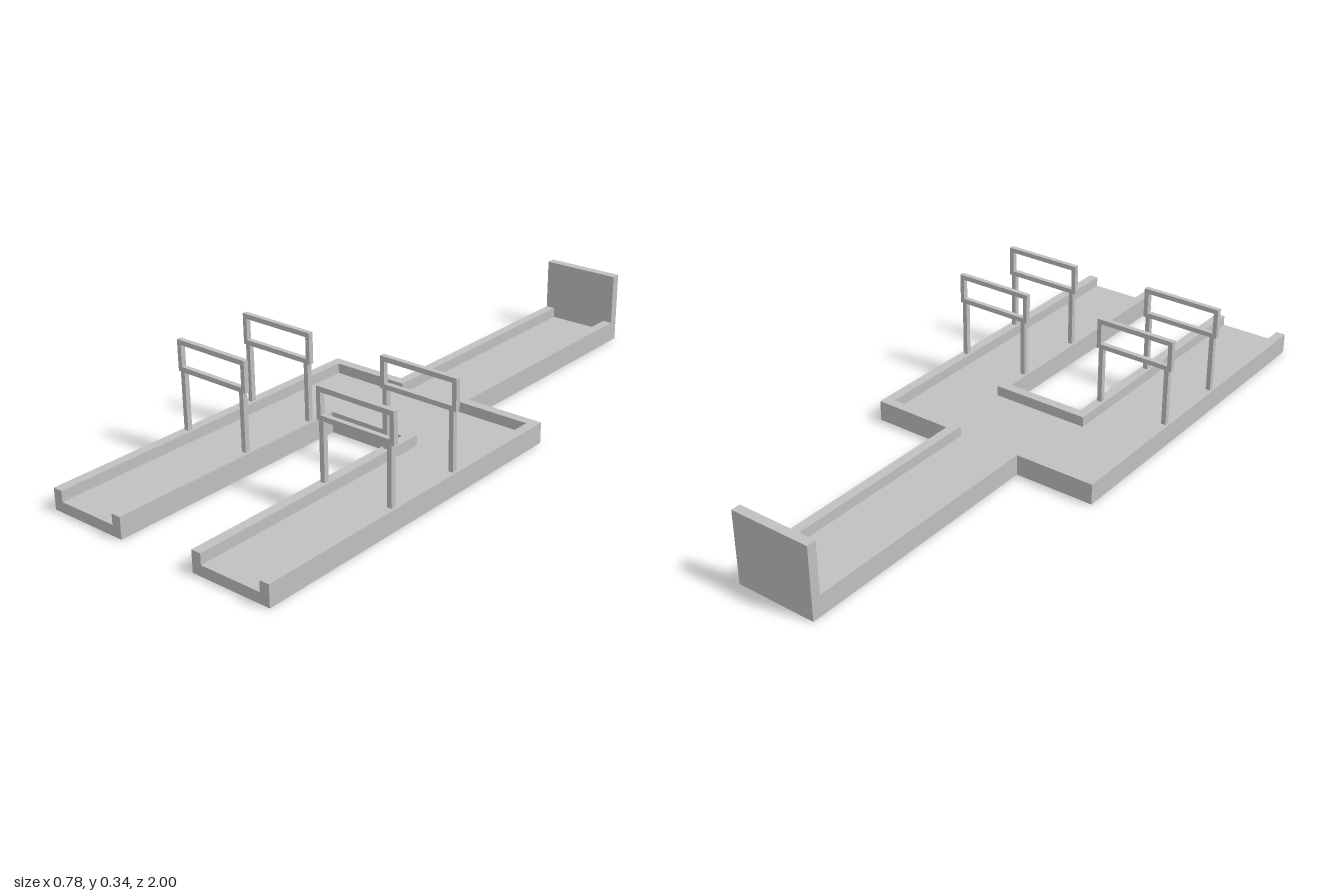
import * as THREE from 'three';

const grey = new THREE.MeshStandardMaterial({ color: 0xc0c0c0 });
grey.name = 'plain grey';

const W = 0.392; // half width of the body
const N = 0.131; // half width of the tail and of the gap between the arms
const T = 0.031; // wall thickness
const FLOOR = 0.033, RIM = 0.066;
const BODY_BACK = -0.148, GAP_BACK = 0.175;

// Upright prism from a plan outline given as [x, z] points
function slab(name, plan, y0, y1) {
  const shape = new THREE.Shape(plan.map(([x, z]) => new THREE.Vector2(x, -z)));
  const geo = new THREE.ExtrudeGeometry(shape, { depth: y1 - y0, bevelEnabled: false });
  geo.rotateX(-Math.PI / 2).translate(0, y0, 0);
  const mesh = new THREE.Mesh(geo, grey);
  mesh.name = name;
  return mesh;
}

// Rectangular frame on two posts, standing on the rims of one arm
function gate(name, x, z) {
  const group = new THREE.Group();
  group.name = name;
  const rect = (P, w, y0, y1) => new P()
    .moveTo(-w, y0).lineTo(w, y0).lineTo(w, y1).lineTo(-w, y1).closePath();
  const frame = rect(THREE.Shape, (W - N) / 2, 0.248, 0.345);
  frame.holes.push(rect(THREE.Path, 0.1165, 0.263, 0.33));
  const depth = 0.016;
  const geo = new THREE.ExtrudeGeometry(frame, { depth, bevelEnabled: false });
  const frameMesh = new THREE.Mesh(geo.translate(0, 0, -depth / 2), grey);
  frameMesh.name = 'gateFrame';
  group.add(frameMesh);
  for (const s of [-1, 1]) {
    const post = new THREE.Mesh(new THREE.BoxGeometry(0.015, 0.248 - RIM, depth), grey);
    post.position.set(s * 0.115, (0.248 + RIM) / 2, 0);
    post.name = 'gatePost';
    group.add(post);
  }
  group.position.set(x, 0, z);
  return group;
}

export function createModel() {
  const model = new THREE.Group();
  model.name = 'forkedChannel';

  // Floor: narrow tail, wide body, two arms
  const half = [[N, -1], [N, BODY_BACK], [W, BODY_BACK], [W, 1], [N, 1], [N, GAP_BACK]];
  const mirrored = half.map(([x, z]) => [-x, z]).reverse();
  model.add(slab('floor', [...half, ...mirrored], 0, FLOOR));

  // Outer rims, from the tail end round to the arm tip
  for (const s of [1, -1]) {
    const rim = [
      [N, -0.97], [N, BODY_BACK], [W, BODY_BACK], [W, 1], [W - T, 1],
      [W - T, BODY_BACK + T], [N - T, BODY_BACK + T], [N - T, -0.97],
    ].map(([x, z]) => [s * x, z]);
    model.add(slab(s > 0 ? 'leftOuterRim' : 'rightOuterRim', rim, FLOOR, RIM));
  }

  // Inner rim, wrapped around the gap between the arms
  const I = N + T;
  model.add(slab('innerRim', [
    [N, 1], [N, GAP_BACK], [-N, GAP_BACK], [-N, 1],
    [-I, 1], [-I, GAP_BACK - T], [I, GAP_BACK - T], [I, 1],
  ], FLOOR, RIM));

  // Tall wall closing the tail
  model.add(slab('endWall', [[-N, -1], [N, -1], [N, -0.97], [-N, -0.97]], FLOOR, 0.231));

  // Two gates over each arm
  for (const s of [1, -1]) {
    for (const z of [0.262, 0.525]) {
      model.add(gate(s > 0 ? 'leftGate' : 'rightGate', s * (W + N) / 2, z));
    }
  }
  return model;
}
